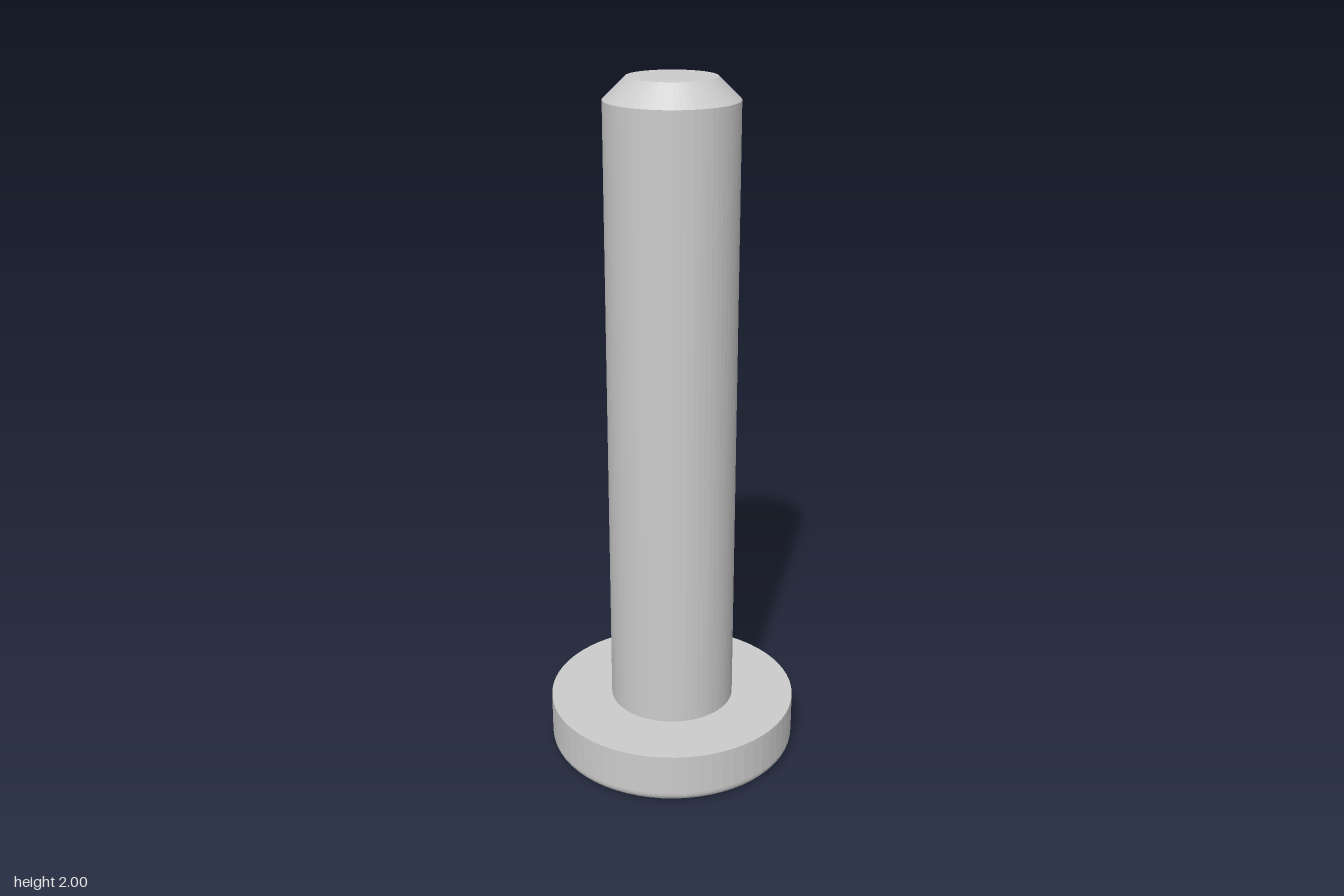
import * as THREE from 'three';

const SIDES = 64;
const HEAD_R = 0.368, HEAD_H = 0.154, FILLET = 0.03;
const SHANK_R = 0.184, TIP_R = 0.123, TIP_Y = 1.94, TOP = 2;

// Revolve a bottom-to-top [radius, height] profile around the y axis
function turned(name, profile, material) {
  const points = profile.map(([r, y]) => new THREE.Vector2(r, y));
  const mesh = new THREE.Mesh(new THREE.LatheGeometry(points, SIDES), material);
  mesh.name = name;
  return mesh;
}

export function createModel() {
  const group = new THREE.Group();
  group.name = 'pin';
  const material = new THREE.MeshStandardMaterial({ color: 0xcccccc, flatShading: true });

  // Head: flat disc with a rounded lower rim
  const head = [[0, 0]];
  const steps = 6;
  for (let i = 0; i <= steps; i++) {
    const a = (i / steps) * Math.PI / 2;
    head.push([HEAD_R - FILLET + FILLET * Math.sin(a), FILLET - FILLET * Math.cos(a)]);
  }
  head.push([HEAD_R, HEAD_H], [SHANK_R, HEAD_H]);
  group.add(turned('head', head, material));

  // Shank: plain cylinder rising from the head
  group.add(turned('shank', [[SHANK_R, HEAD_H], [SHANK_R, TIP_Y]], material));

  // Tip: chamfer and flat end
  group.add(turned('chamferedTip', [[SHANK_R, TIP_Y], [TIP_R, TOP], [0, TOP]], material));

  return group;
}
